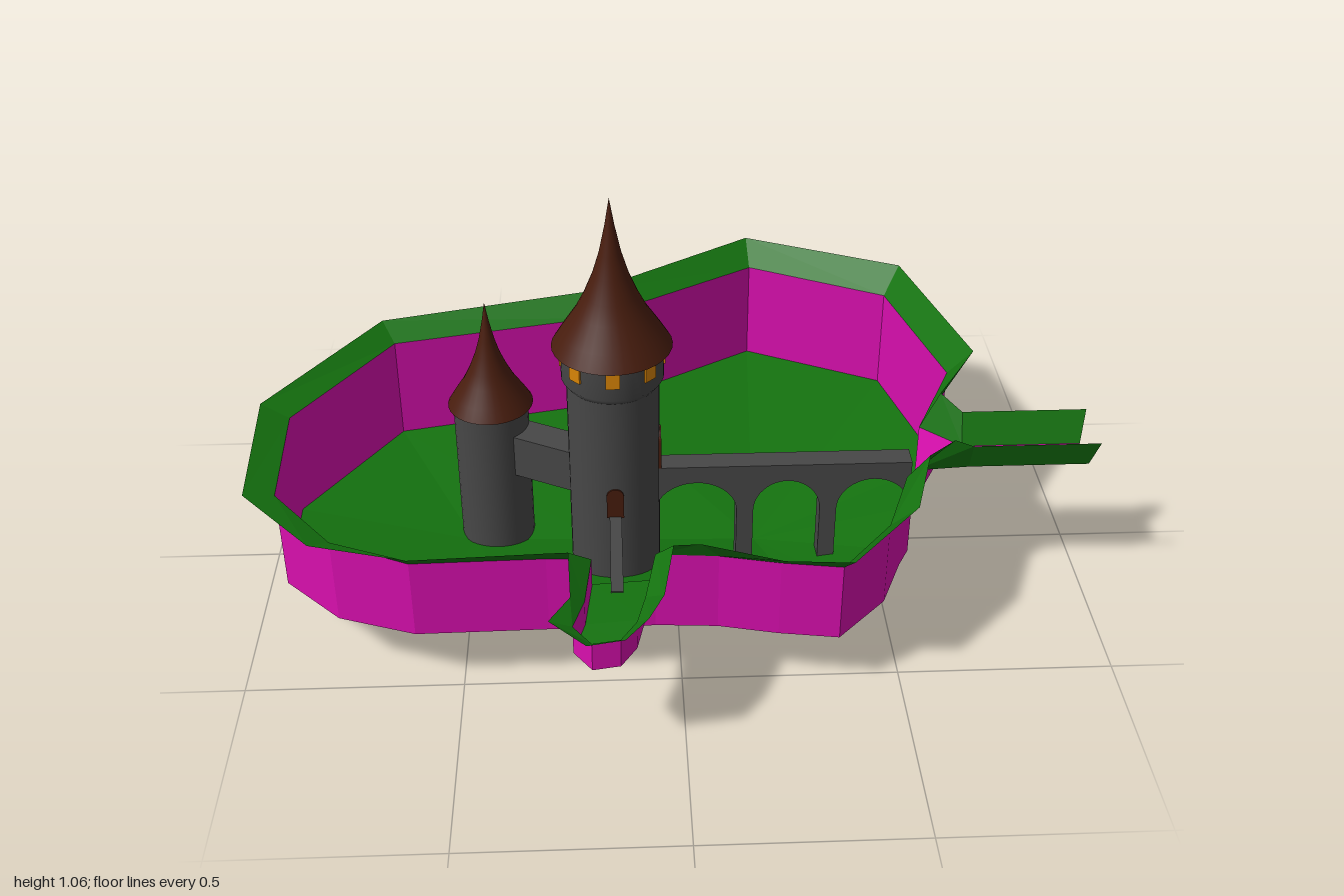
import * as THREE from 'three';

const { clamp, lerp } = THREE.MathUtils;
const paint = (color, flatShading = false) =>
  new THREE.MeshStandardMaterial({ color, flatShading, side: THREE.DoubleSide });
const GREEN = paint(0x14720f, true), PINK = paint(0xd80fae, true);
const STONE = paint(0x474747), STONE_FLAT = paint(0x474747, true);
const ROOF = paint(0x481d0e), GLOW = paint(0xd98506, true);

// Surface between two equally long rows of points
function ribbon(a, b, closed = false) {
  const pos = [], n = a.length;
  for (let i = 0; i < (closed ? n : n - 1); i++) {
    const j = (i + 1) % n;
    for (const p of [a[i], b[i], b[j], a[i], b[j], a[j]]) pos.push(...p);
  }
  const g = new THREE.BufferGeometry();
  g.setAttribute('position', new THREE.Float32BufferAttribute(pos, 3));
  g.computeVertexNormals();
  return g;
}

function add(parent, name, geometry, material, x = 0, y = 0, z = 0) {
  const m = new THREE.Mesh(geometry, material);
  m.name = name;
  m.position.set(x, y, z);
  parent.add(m);
  return m;
}

// Shore outline: inner x, z (wall) and outer x, z (rim), optional wall top
const SHORE = [
  [0.56, 0.21, 0.645, 0.225, 0.365], [0.53, 0.27, 0.58, 0.27], [0.47, 0.42, 0.53, 0.43],
  [0.35, 0.55, 0.365, 0.6], [0.215, 0.53, 0.215, 0.585], [0.08, 0.5, 0.04, 0.515],
  [-0.06, 0.49, -0.02, 0.515], [-0.2, 0.5, -0.25, 0.525],
  [-0.3, 0.495, -0.3, 0.525], [-0.6, 0.5, -0.6, 0.53], [-0.78, 0.43, -0.82, 0.47],
  [-0.92, 0.28, -0.985, 0.31], [-0.93, -0.02, -1, -0.04], [-0.71, -0.36, -0.745, -0.42],
  [-0.195, -0.47, -0.205, -0.535], [0.245, -0.735, 0.24, -0.81], [0.6, -0.56, 0.645, -0.615],
  [0.7, -0.16, 0.76, -0.155], [0.6, 0.03, 0.645, 0.03, 0.365],
];
const FRONT_GAP = 6; // shore segment opened by the front channel

// Heights along the shore
const front = (z) => clamp((z - 0.2) / 0.3, 0, 1);
const wallTop = ([x, z, , , top]) => [x, top ?? 0.4 - 0.045 * front(z), z];
const wallFoot = ([x, z]) => [x, 0.125 + 0.03 * front(z), z];
const rimEdge = ([, , x, z]) => [x, 0.43 + 0.02 * (x + 1) - 0.05 * front(z), z];

function basin() {
  const g = new THREE.Group();
  g.name = 'basin';
  // Walls and rim in two runs, either side of the front channel
  const runs = [SHORE.slice(0, FRONT_GAP + 1), SHORE.slice(FRONT_GAP + 1)];
  for (const run of runs) {
    add(g, 'basinWall', ribbon(run.map(wallTop), run.map(wallFoot)), PINK);
    add(g, 'basinRim', ribbon(run.map(rimEdge), run.map(wallTop)), GREEN);
  }
  // Lower sills below both channel mouths
  const sills = [[SHORE[FRONT_GAP], SHORE[FRONT_GAP + 1], 0.285], [SHORE.at(-1), SHORE[0], 0.365]];
  for (const [p, q, y] of sills)
    add(g, 'channelSill', ribbon([p, q].map(([x, z]) => [x, y, z]), [p, q].map(wallFoot)), PINK);
  // Floor dips towards a low central spine
  const spine = SHORE.map(([x]) => {
    const sx = clamp(x, -0.5, 0.2);
    return [sx, lerp(0.07, 0.05, (sx + 0.5) / 0.7), 0.05];
  });
  add(g, 'basinFloor', ribbon(SHORE.map(wallFoot), spine, true), GREEN);
  return g;
}

function sideChannel() {
  const g = new THREE.Group();
  g.name = 'sideChannel';
  const farRim = [rimEdge(SHORE.at(-1)), [0.69, 0.44, 0.08], [0.99, 0.44, 0.08]];
  const farBed = [[0.6, 0.365, 0.03], [0.69, 0.365, 0.115], [0.975, 0.365, 0.115]];
  const nearBed = [[0.56, 0.365, 0.21], [0.69, 0.365, 0.2], [0.975, 0.365, 0.2]];
  const nearRim = [rimEdge(SHORE[0]), [0.69, 0.44, 0.225], [0.99, 0.44, 0.225]];
  add(g, 'channelBank', ribbon(farRim, farBed), GREEN);
  add(g, 'channelBed', ribbon(farBed, nearBed), PINK);
  add(g, 'channelBank', ribbon(nearBed, nearRim), GREEN);
  return g;
}

function frontChannel() {
  const g = new THREE.Group();
  g.name = 'frontChannel';
  // U-shaped outline, mouth to tip and back, as in the shore list
  const u = [
    SHORE[FRONT_GAP + 1], [-0.215, 0.63, -0.245, 0.645], [-0.24, 0.71, -0.29, 0.72],
    [-0.2, 0.765, -0.21, 0.8], [-0.14, 0.755, -0.13, 0.785], [-0.105, 0.7, -0.08, 0.72],
    [-0.085, 0.62, -0.045, 0.645], SHORE[FRONT_GAP],
  ];
  const mouth = (i) => i === 0 || i === u.length - 1;
  const rim = u.map((p, i) => (mouth(i) ? rimEdge(p) : [p[2], 0.37, p[3]]));
  const top = u.map((p, i) => (mouth(i) ? wallTop(p) : [p[0], 0.345, p[1]]));
  const bed = u.map(([x, z]) => [x, 0.285 - 0.012 * clamp((z - 0.6) / 0.1, 0, 1), z]);
  add(g, 'channelRim', ribbon(rim, top), GREEN);
  add(g, 'channelWall', ribbon(top, bed), PINK);
  add(g, 'channelBed', ribbon(bed.slice(0, 4), bed.slice(4).reverse()), GREEN);
  return g;
}

const lathe = (pts) => new THREE.LatheGeometry(pts.map(([r, y]) => new THREE.Vector2(r, y)), 32);

// Hollow round tower with a concave pointed roof
function tower(name, x, z, r, foot, top, eave, height) {
  const g = new THREE.Group();
  g.name = name;
  g.position.set(x, 0, z);
  add(g, 'towerBody', new THREE.CylinderGeometry(r, r, top - foot, 32, 1, true), STONE, 0, (top + foot) / 2);
  const curve = [[1, 0], [0.84, 0.1], [0.6, 0.24], [0.44, 0.36], [0.29, 0.5], [0.18, 0.64], [0.08, 0.82], [0, 1]];
  add(g, 'towerRoof', lathe(curve.map(([a, b]) => [a * eave, top + b * height])), ROOF);
  add(g, 'roofUnderside', new THREE.CircleGeometry(eave, 32).rotateX(Math.PI / 2), ROOF, 0, top);
  return g;
}

// Round-headed door standing on the origin, facing +z
function doorGeometry(w, h) {
  const s = new THREE.Shape();
  s.moveTo(-w / 2, 0);
  s.lineTo(w / 2, 0);
  s.lineTo(w / 2, h - w / 2);
  s.absarc(0, h - w / 2, w / 2, 0, Math.PI, false);
  s.closePath();
  return new THREE.ExtrudeGeometry(s, { depth: 0.012, bevelEnabled: false, curveSegments: 8 });
}

function mainTower() {
  const g = tower('mainTower', -0.145, 0.15, 0.107, 0.025, 0.695, 0.138, 0.365);
  add(g, 'towerCollar', lathe([[0.107, 0.6], [0.118, 0.615], [0.118, 0.695]]), STONE);
  for (let i = 0; i < 5; i++) {
    const a = (i * Math.PI) / 4;
    const w = add(g, 'window', new THREE.BoxGeometry(0.032, 0.038, 0.012), GLOW,
      0.115 * Math.cos(a), 0.667, 0.115 * Math.sin(a));
    w.rotation.y = Math.PI / 2 - a;
  }
  add(g, 'sideDoor', doorGeometry(0.055, 0.1), ROOF, 0.098, 0.365, 0).rotation.y = Math.PI / 2;
  add(g, 'frontDoor', doorGeometry(0.04, 0.08), ROOF, 0, 0.285, 0.098);
  return g;
}

// Long bridge: three arches on two piers that pass through the floor
function archBridge() {
  const s = new THREE.Shape();
  const deck = 0.365, spring = 0.235, rise = 0.085, foot = 0.04;
  s.moveTo(-0.06, deck);
  s.lineTo(-0.06, spring);
  const spans = [[-0.05, 0.145], [0.185, 0.345], [0.385, 0.56]];
  spans.forEach(([a, b], i) => {
    if (i > 0) s.lineTo(a, foot);
    s.lineTo(a, spring);
    s.absellipse((a + b) / 2, spring, (b - a) / 2, rise, Math.PI, 0, true);
    if (i < 2) s.lineTo(b, foot);
  });
  s.lineTo(0.56, deck);
  s.closePath();
  return new THREE.ExtrudeGeometry(s, { depth: 0.055, bevelEnabled: false, curveSegments: 10 });
}

export function createModel() {
  const model = new THREE.Group();
  model.name = 'castleIsland';
  model.add(basin(), sideChannel(), frontChannel(), mainTower());
  model.add(tower('smallTower', -0.44, 0, 0.09, 0, 0.448, 0.102, 0.275));
  add(model, 'archBridge', archBridge(), STONE_FLAT, 0, 0, 0.1225);
  add(model, 'frontBridge', new THREE.BoxGeometry(0.028, 0.025, 0.29), STONE_FLAT, -0.145, 0.275, 0.385);
  // Enclosed passage joining the two towers
  const passage = add(model, 'passage', new THREE.BoxGeometry(0.25, 0.11, 0.08), STONE_FLAT, -0.29, 0.335, 0.075);
  passage.rotation.y = -Math.atan2(0.15, 0.295);
  return model;
}
